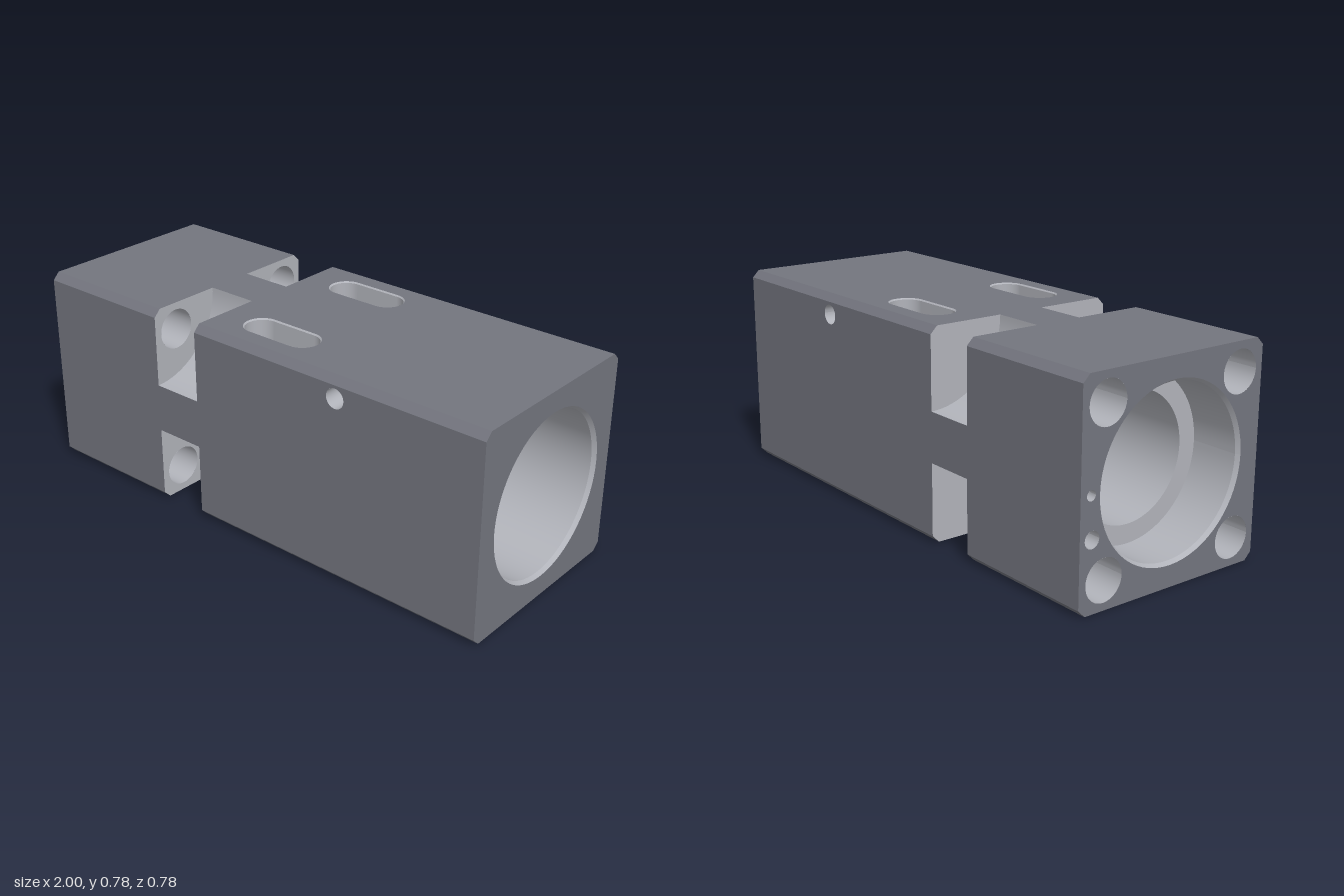
import * as THREE from 'three';

const H = 0.39, CH = 0.027;            // half width of the block, edge chamfer
const N0 = -0.436, N1 = -0.235, NR = 0.297; // corner notch range and radius
const BORE = 0.232, SEAT = 0.302;      // through bore and end seats
const STEP_L = -0.8, STEP_R = 0.6;     // depth of the end seats
const SL = { z: 0.2325, r: 0.062, rim: 0.067, x0: -0.055, x1: 0.133 }; // vertical slots
const PK = { z: 0.158, r: 0.131 };     // side pockets from the right seat to the slots
const PIN = { x: 0.41, w: 0.315, r: 0.037 };
const BOLT = { p: 0.287, r: 0.076 };
const dowels = [[-0.347, 0.005, 0.018], [-0.34, -0.14, 0.03]]; // z, y, radius

const outer = new THREE.MeshStandardMaterial({ color: 0x73757e, side: THREE.DoubleSide });
const machined = new THREE.MeshStandardMaterial({ color: 0xb1b3ba, side: THREE.DoubleSide });
const signs = [1, -1];
const range = (a, b, n, f) => Array.from({ length: n + 1 }, (_, i) => f(a + (b - a) * i / n));

export function createModel() {
  const group = new THREE.Group();
  const body = new THREE.Group();
  body.name = 'housing';
  body.position.y = H;
  group.add(body);

  const add = (name, geo, mat) => {
    geo.computeVertexNormals();
    const mesh = new THREE.Mesh(geo, mat);
    mesh.name = name;
    body.add(mesh);
  };
  // Strip of quads between two point lists
  const ruled = (name, a, b, mat = machined) => {
    const pos = [], idx = [];
    a.forEach((p, i) => {
      pos.push(...p, ...b[i]);
      if (i) idx.push(2 * i - 2, 2 * i - 1, 2 * i, 2 * i, 2 * i - 1, 2 * i + 1);
    });
    const g = new THREE.BufferGeometry();
    g.setAttribute('position', new THREE.Float32BufferAttribute(pos, 3));
    g.setIndex(idx);
    add(name, g, mat);
  };
  // Flat face with holes, placed by a mapping of its two coordinates
  const flat = (name, shape, map, mat = outer) => {
    const g = new THREE.ShapeGeometry(shape, 32), p = g.attributes.position;
    for (let i = 0; i < p.count; i++) p.setXYZ(i, ...map(p.getX(i), p.getY(i)));
    add(name, g, mat);
  };
  const circle = (x, r, z = 0, y = 0, n = 96) =>
    range(0, 2 * Math.PI, n, t => [x, y + r * Math.sin(t), z + r * Math.cos(t)]);
  const hole = (shape, x, y, r) => shape.holes.push(new THREE.Path().absarc(x, y, r, 0, 2 * Math.PI, true));
  const poly = pts => new THREE.Shape(pts.map(p => new THREE.Vector2(...p)));

  // Four long faces with notched edges
  const F = H - CH, NI = H - NR;
  const longFace = () => poly([[-1, -F], [N0, -F], [N0, -NI], [N1, -NI], [N1, -F], [1, -F],
    [1, F], [N1, F], [N1, NI], [N0, NI], [N0, F], [-1, F]]);
  const topShape = longFace(), sideShape = longFace();
  for (const s of signs) {
    const path = new THREE.Path();
    path.absarc(SL.x0, s * SL.z, SL.rim, Math.PI / 2, Math.PI * 1.5, false);
    path.absarc(SL.x1, s * SL.z, SL.rim, -Math.PI / 2, Math.PI / 2, false);
    path.closePath();
    topShape.holes.push(path);
  }
  hole(sideShape, PIN.x, PIN.w, PIN.r);
  for (const s of signs) {
    flat(s > 0 ? 'topFace' : 'bottomFace', topShape, (x, z) => [x, s * H, z]);
    flat(s > 0 ? 'frontFace' : 'backFace', sideShape, (x, y) => [x, y, s * H]);
  }

  // End faces
  const octagon = () => poly([[F, -H], [H, -F], [H, F], [F, H], [-F, H], [-H, F], [-H, -F], [-F, -H]]);
  const rightEnd = octagon(), leftEnd = octagon();
  hole(rightEnd, 0, 0, SEAT + 0.01);
  hole(leftEnd, 0, 0, SEAT + 0.01);
  for (const a of signs) for (const b of signs) hole(leftEnd, a * BOLT.p, b * BOLT.p, BOLT.r);
  for (const [z, y, r] of dowels) hole(leftEnd, z, y, r);
  flat('rightEndFace', rightEnd, (z, y) => [1, y, z]);
  flat('leftEndFace', leftEnd, (z, y) => [-1, y, z]);

  // Corner details: chamfers, notches and bolt holes
  const wall = poly([[NI, H], [F, H], [H, F], [H, NI]]);
  wall.absarc(H, H, NR, -Math.PI / 2, -Math.PI, true);
  const drilled = wall.clone();
  hole(drilled, BOLT.p, BOLT.p, BOLT.r);
  for (const a of signs) for (const b of signs) {
    for (const [x0, x1] of [[-1, N0], [N1, 1]])
      ruled('edgeChamfer', [[x0, a * H, b * F], [x0, a * F, b * H]], [[x1, a * H, b * F], [x1, a * F, b * H]], outer);
    flat('notchWallLeft', drilled, (z, y) => [N0, a * y, b * z], machined);
    flat('notchWallRight', wall, (z, y) => [N1, a * y, b * z], machined);
    const arc = x => range(Math.PI, 1.5 * Math.PI, 32, t =>
      [x, a * (H + NR * Math.sin(t)), b * (H + NR * Math.cos(t))]);
    ruled('notchFloor', arc(N0), arc(N1));
    ruled('boltHole', circle(-1, BOLT.r, b * BOLT.p, a * BOLT.p, 40), circle(N0, BOLT.r, b * BOLT.p, a * BOLT.p, 40));
  }
  for (const [z, y, r] of dowels) {
    ruled('dowelHole', circle(-1, r, z, y, 24), circle(-0.85, r, z, y, 24));
    ruled('dowelHoleEnd', circle(-0.85, r, z, y, 24), circle(-0.85, 0, z, y, 24));
  }

  // Seats at both ends with a small lead-in
  for (const [end, step] of [[-1, STEP_L], [1, STEP_R]]) {
    const lip = end * 0.985;
    ruled('seatChamfer', circle(end, SEAT + 0.01), circle(lip, SEAT));
    ruled('seatWall', circle(lip, SEAT), circle(step, SEAT));
  }
  ruled('leftStep', circle(STEP_L, SEAT), circle(STEP_L, BORE));
  const reach = t => PK.z * Math.abs(Math.cos(t)) +
    Math.sqrt(Math.max(0, PK.r ** 2 - (PK.z * Math.sin(t)) ** 2));
  ruled('rightStep', circle(STEP_R, SEAT, 0, 0, 192), range(0, 2 * Math.PI, 192, t => {
    const r = Math.max(BORE, reach(t));
    return [STEP_R, r * Math.sin(t), r * Math.cos(t)];
  }));

  // Through bore, opened on both sides by slots and pockets
  const bulge = z => Math.sqrt(Math.max(0, SL.r ** 2 - (z - SL.z) ** 2));
  const tSlot = Math.acos((SL.z - SL.r) / BORE);
  const zPocket = (BORE ** 2 + PK.z ** 2 - PK.r ** 2) / (2 * PK.z);
  const tPocket = Math.acos(zPocket / BORE);
  const onBore = (t, x, s) => [x, BORE * Math.sin(t), s * BORE * Math.cos(t)];
  const boreStrip = (a, b, n, x0, x1, s) => ruled('bore',
    range(a, b, n, t => onBore(t, x0(BORE * Math.cos(t)), s)),
    range(a, b, n, t => onBore(t, x1(BORE * Math.cos(t)), s)));
  const left = () => STEP_L, right = () => STEP_R;
  const slotLeft = z => SL.x0 - bulge(z), slotRight = z => SL.x1 + bulge(z);
  for (const s of signs) {
    boreStrip(s * tSlot, s * (Math.PI - tSlot), 40, left, right, 1);
    boreStrip(-tSlot, tSlot, 40, left, slotLeft, s);
    boreStrip(tPocket, tSlot, 12, slotRight, right, s);
    boreStrip(-tSlot, -tPocket, 12, slotRight, right, s);

    // Pocket wall
    const tp = Math.acos((zPocket - PK.z) / PK.r);
    const pocket = fx => range(-tp, tp, 32, t => {
      const z = PK.z + PK.r * Math.cos(t);
      return [fx(z), PK.r * Math.sin(t), s * z];
    });
    ruled('sidePocket', pocket(slotRight), pocket(right));

    // Slot walls from the outer face down to the bore, with a chamfered rim
    const outline = r => {
      const pts = [[SL.x0, Math.PI / 2], [SL.x1, -Math.PI / 2]].flatMap(([x, a]) =>
        range(a, a + Math.PI, 32, t => [x + r * Math.cos(t), SL.z + r * Math.sin(t)]));
      return [...pts, pts[0]];
    };
    const depth = (x, z) => Math.sqrt(Math.max(0, BORE ** 2 - z ** 2,
      x > SL.x1 - 0.01 ? PK.r ** 2 - (z - PK.z) ** 2 : 0));
    for (const v of signs) {
      const mouth = outline(SL.r).map(([x, z]) => [x, v * (H - SL.rim + SL.r), s * z]);
      ruled('slotChamfer', outline(SL.rim).map(([x, z]) => [x, v * H, s * z]), mouth);
      ruled('slotWall', mouth, outline(SL.r).map(([x, z]) => [x, v * depth(x, z), s * z]));
    }
  }

  // Cross pin hole
  const pin = z => range(0, 2 * Math.PI, 32, t => [PIN.x + PIN.r * Math.cos(t), PIN.w + PIN.r * Math.sin(t), z]);
  ruled('pinHole', pin(-H), pin(H));
  return group;
}
